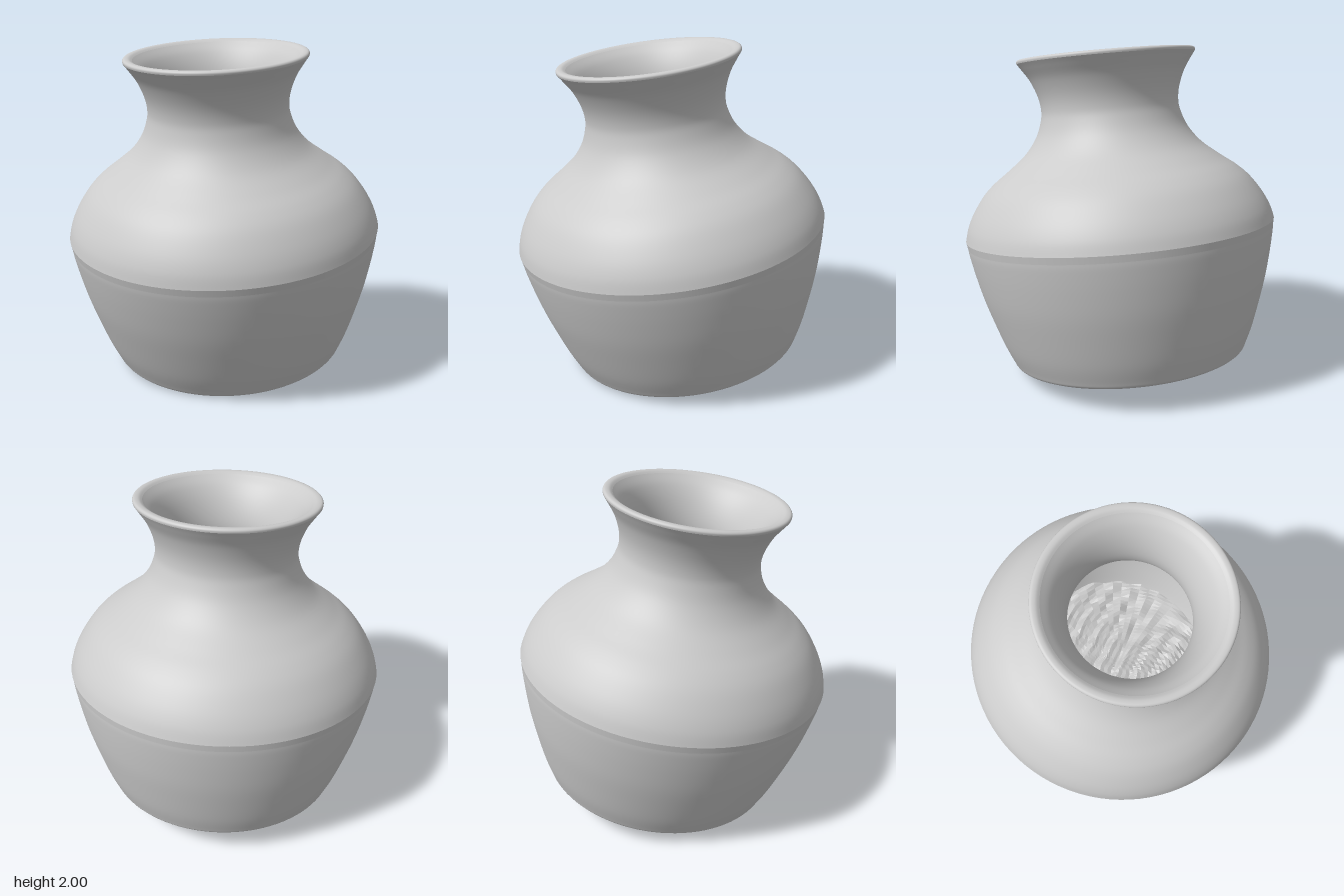
import * as THREE from 'three';

const grey = (opts = {}) => new THREE.MeshStandardMaterial({ color: 0xcccccc, ...opts });
const pts = (list) => list.map(([r, h]) => new THREE.Vector2(r, h));
const smooth = (list, n) => new THREE.SplineCurve(pts(list)).getPoints(n);

function lathe(name, points) {
  const mesh = new THREE.Mesh(new THREE.LatheGeometry(points, 96), grey());
  mesh.name = name;
  return mesh;
}

// Uneven ridged floor inside the vase
function roughFloor(radius, height) {
  const geo = new THREE.RingGeometry(0.001, radius, 60, 26).rotateX(-Math.PI / 2);
  const p = geo.attributes.position;
  for (let i = 0; i < p.count; i++) {
    const x = p.getX(i), z = p.getZ(i);
    const ridge = Math.sin(z * 48 + 1.5 * Math.sin(x * 5)) * 0.6
      + Math.sin(z * 97 + x * 13) * 0.25 + Math.sin(x * 41 - z * 23) * 0.15;
    p.setY(i, height + 0.025 * ridge);
  }
  const mesh = new THREE.Mesh(geo, grey({ flatShading: true }));
  mesh.name = 'innerFloor';
  return mesh;
}

export function createModel() {
  const group = new THREE.Group();
  group.name = 'vase';

  // Everything is turned about one axis, then the whole vase leans
  const vase = new THREE.Group();
  vase.name = 'leaningVase';

  vase.add(lathe('base', pts([[0, 0], [0.35, 0], [0.69, 0]])));

  // Tapered lower body with a rounded foot
  vase.add(lathe('lowerBody', smooth([
    [0.69, 0], [0.722, 0.015], [0.74, 0.05], [0.782, 0.15], [0.832, 0.3],
    [0.877, 0.45], [0.912, 0.6], [0.935, 0.72], [0.941, 0.765],
  ], 40)));

  // Narrow bevel where body meets shoulder
  vase.add(lathe('shoulderEdge', pts([[0.941, 0.765], [0.948, 0.805]])));

  // Shoulder, waist of the neck and flared mouth
  vase.add(lathe('shoulderAndNeck', smooth([
    [0.948, 0.805], [0.927, 0.88], [0.885, 0.965], [0.818, 1.06], [0.745, 1.13],
    [0.65, 1.2], [0.54, 1.29], [0.465, 1.39], [0.427, 1.49], [0.42, 1.56],
    [0.434, 1.64], [0.47, 1.73], [0.515, 1.8], [0.54, 1.835],
  ], 70)));

  // Thin rounded rim rolling into the funnel of the mouth
  vase.add(lathe('rim', smooth([
    [0.54, 1.835], [0.541, 1.848], [0.53, 1.858], [0.505, 1.857], [0.485, 1.845],
  ], 14)));

  // Inside wall, from the mouth down to the floor
  vase.add(lathe('innerWall', smooth([
    [0.485, 1.845], [0.435, 1.795], [0.39, 1.72], [0.358, 1.63], [0.346, 1.54],
    [0.36, 1.45], [0.41, 1.34], [0.52, 1.22], [0.68, 1.1], [0.8, 0.98],
    [0.87, 0.82], [0.85, 0.6], [0.79, 0.35], [0.71, 0.12], [0.67, 0.02],
  ], 70)));

  vase.add(roughFloor(0.7, 0.05));

  const axis = new THREE.Vector3(-0.057, 1, 0.12).normalize();
  vase.quaternion.setFromUnitVectors(new THREE.Vector3(0, 1, 0), axis);
  vase.position.set(0.04, 0.095, -0.092);
  group.add(vase);
  return group;
}
